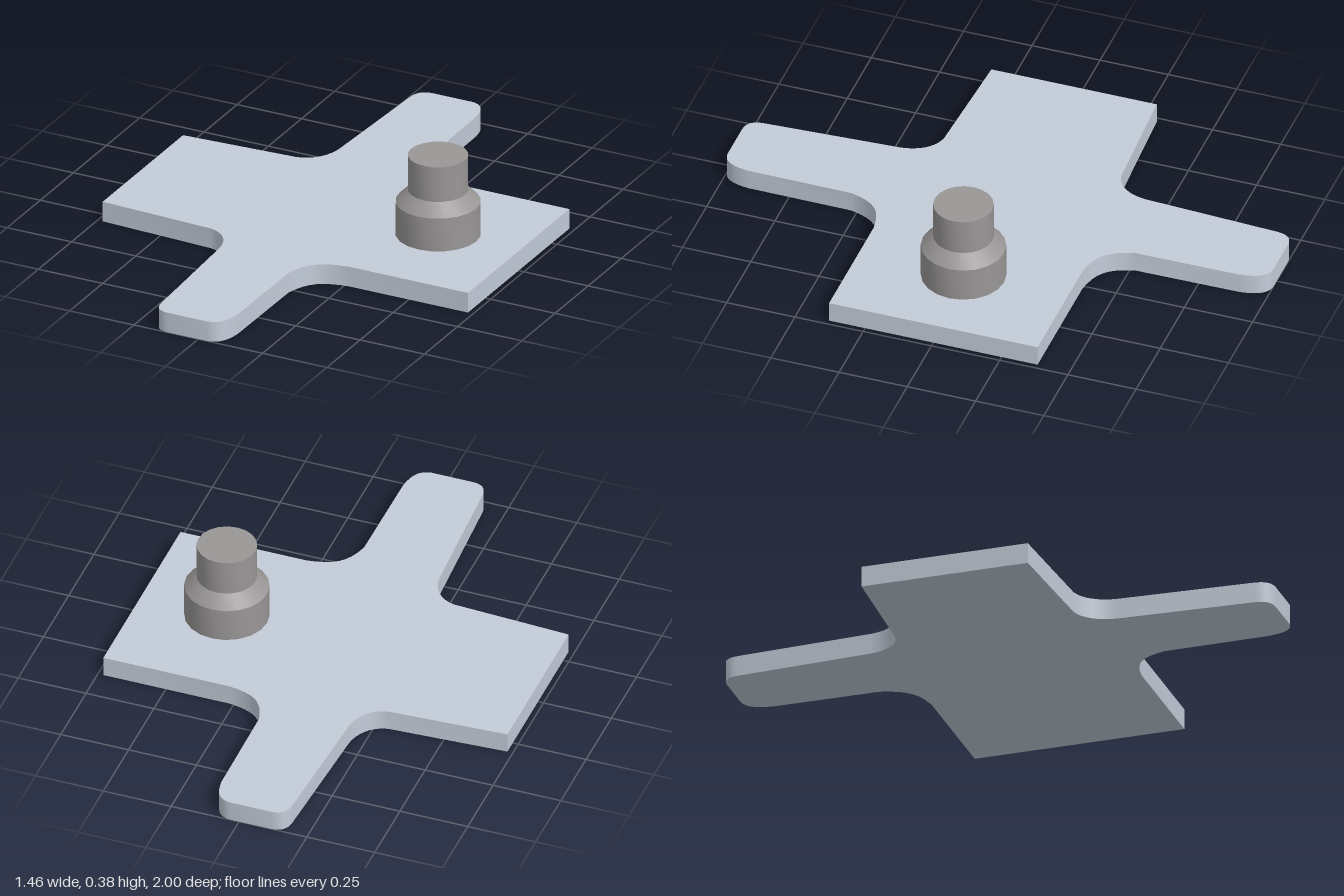
import * as THREE from 'three';
import { toCreasedNormals } from 'three/addons/utils/BufferGeometryUtils.js';

const plateThickness = 0.075;

// Half outline of the plate, from its -x end to its +x end; the other half is mirrored.
function halfOutline() {
  const path = new THREE.Path();
  path.moveTo(-0.73, 0.303);
  path.lineTo(-0.3, 0.325);
  path.bezierCurveTo(-0.24, 0.335, -0.205, 0.39, -0.2, 0.45);
  path.lineTo(-0.175, 0.94);
  path.bezierCurveTo(-0.172, 0.98, -0.155, 1, -0.115, 1);
  path.lineTo(0.035, 1);
  path.bezierCurveTo(0.08, 0.995, 0.095, 0.96, 0.102, 0.9);
  path.lineTo(0.105, 0.52);
  path.bezierCurveTo(0.13, 0.42, 0.17, 0.395, 0.265, 0.382);
  path.lineTo(0.73, 0.382);
  return path.getPoints(8);
}

export function createModel() {
  const model = new THREE.Group();

  // Flat cross-shaped plate
  const half = halfOutline();
  const mirrored = half.map((p) => new THREE.Vector2(p.x, -p.y)).reverse();
  const plateGeometry = new THREE.ExtrudeGeometry(new THREE.Shape([...half, ...mirrored]), {
    depth: plateThickness,
    bevelEnabled: false,
  });
  plateGeometry.rotateX(-Math.PI / 2);
  const plate = new THREE.Mesh(
    toCreasedNormals(plateGeometry, 0.7),
    new THREE.MeshStandardMaterial({ color: 0xc3ccd9 })
  );
  plate.name = 'plate';
  model.add(plate);

  // Stepped knob: wide base, sloped shoulder, narrow neck with a flat top
  const profile = [
    [0, 0.075], [0.148, 0.075], [0.148, 0.2], [0.105, 0.244], [0.105, 0.376], [0, 0.376],
  ].map(([r, y]) => new THREE.Vector2(r, y));
  const knob = new THREE.Mesh(
    toCreasedNormals(new THREE.LatheGeometry(profile, 20), 0.5),
    new THREE.MeshStandardMaterial({ color: 0x999796 })
  );
  knob.name = 'knob';
  knob.position.x = 0.417;
  model.add(knob);

  return model;
}
